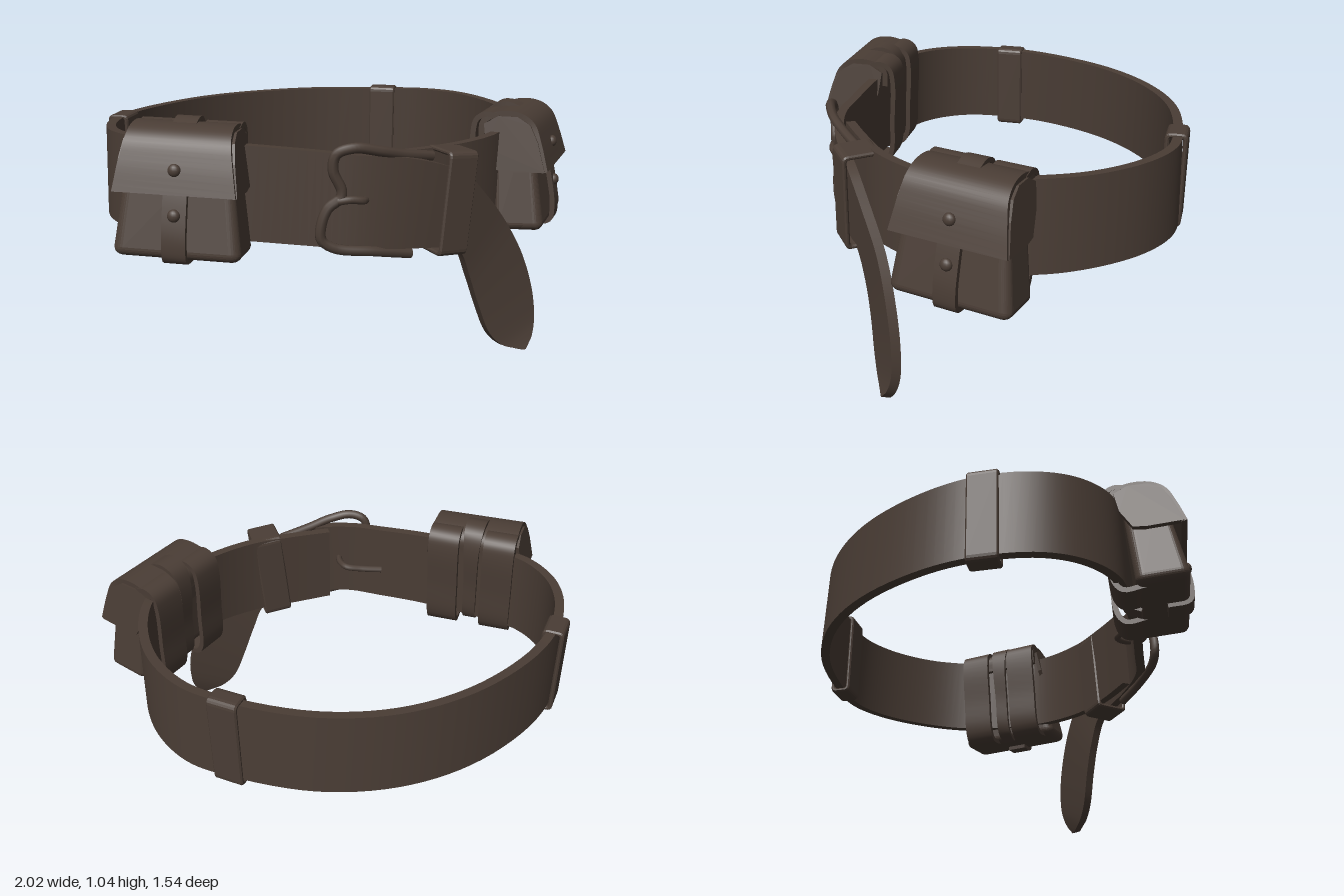
import * as THREE from 'three';
import { RoundedBoxGeometry } from 'three/addons/geometries/RoundedBoxGeometry.js';

const leather = new THREE.MeshStandardMaterial({ color: 0x4a3d35 });
leather.name = 'dark brown leather';

const V = (x, y, z) => new THREE.Vector3(x, y, z);

function add(parent, name, geometry) {
  const mesh = new THREE.Mesh(geometry, leather);
  mesh.name = name;
  parent.add(mesh);
  return mesh;
}

// Leather band between two edge curves; smooth along its length, sharp at the edges
function ribbon(sections, thickness, steps = 5) {
  const low = new THREE.CatmullRomCurve3(sections.map(s => V(s[0], s[1], s[2])));
  const high = new THREE.CatmullRomCurve3(sections.map(s => V(s[3], s[4], s[5])));
  const n = (sections.length - 1) * steps;
  const lows = [], highs = [], rings = [];
  for (let i = 0; i <= n; i++) {
    lows.push(low.getPoint(i / n));
    highs.push(high.getPoint(i / n));
  }
  for (let i = 0; i <= n; i++) {
    const a = Math.max(i - 1, 0), b = Math.min(i + 1, n);
    const t = lows[b].clone().add(highs[b]).sub(lows[a]).sub(highs[a]);
    const w = highs[i].clone().sub(lows[i]);
    const o = t.cross(w).normalize().multiplyScalar(thickness / 2);
    rings.push([lows[i].clone().add(o), highs[i].clone().add(o),
      highs[i].clone().sub(o), lows[i].clone().sub(o)]);
  }
  const pos = [], index = [];
  for (let k = 0; k < 4; k++) {
    const base = pos.length / 3;
    for (const r of rings) pos.push(...r[k].toArray(), ...r[(k + 1) % 4].toArray());
    for (let i = 0; i < n; i++) {
      const p = base + 2 * i;
      index.push(p, p + 2, p + 3, p, p + 3, p + 1);
    }
  }
  for (const cap of [rings[0], [...rings[n]].reverse()]) {
    const c = pos.length / 3;
    cap.forEach(p => pos.push(...p.toArray()));
    index.push(c, c + 1, c + 2, c, c + 2, c + 3);
  }
  const g = new THREE.BufferGeometry();
  g.setAttribute('position', new THREE.Float32BufferAttribute(pos, 3));
  g.setIndex(index);
  g.computeVertexNormals();
  return g;
}

// Strap following a side profile of [z, y, halfWidth], centred on x
const strap = (profile, x, thickness) =>
  ribbon(profile.map(([z, y, h]) => [x - h, y, z, x + h, y, z]), thickness);

const tube = (points, r) =>
  new THREE.TubeGeometry(new THREE.CatmullRomCurve3(points), points.length * 6, r, 8);

function roundedRect(path, w, h, r) {
  const x = w / 2, y = h / 2;
  path.moveTo(-x + r, -y);
  path.lineTo(x - r, -y).quadraticCurveTo(x, -y, x, -y + r);
  path.lineTo(x, y - r).quadraticCurveTo(x, y, x - r, y);
  path.lineTo(-x + r, y).quadraticCurveTo(-x, y, -x, y - r);
  path.lineTo(-x, -y + r).quadraticCurveTo(-x, -y, -x + r, -y);
  return path;
}

// Leather loop around the belt, facing outward along (nx, nz)
function keeper(parent, name, [x, y, z], [nx, nz], depth, height, width, tilt = 0) {
  const shape = roundedRect(new THREE.Shape(), depth, height, 0.025);
  shape.holes.push(roundedRect(new THREE.Path(), depth - 0.036, height - 0.036, 0.012));
  const g = new THREE.ExtrudeGeometry(shape, {
    depth: width - 0.012, bevelThickness: 0.006, bevelSize: 0.006, bevelOffset: -0.006,
    bevelSegments: 1, curveSegments: 4,
  });
  g.translate(0, 0, -width / 2 + 0.006);
  g.rotateX(tilt);
  const mesh = add(parent, name, g);
  mesh.position.set(x, y, z);
  mesh.rotation.y = Math.atan2(-nz, nx);
}

// Pouch turned to face outward, its top leaning back over the belt
function pouch(name, x, y, z, turn, lean) {
  const group = new THREE.Group();
  group.name = name;
  group.position.set(x + 0.025 * Math.sin(turn), y, z + 0.025 * Math.cos(turn));
  group.rotation.set(-0.09, turn, lean, 'YXZ');

  // Body tapers toward the top
  const body = new RoundedBoxGeometry(0.41, 0.46, 0.21, 4, 0.035);
  const p = body.attributes.position;
  for (let i = 0; i < p.count; i++) {
    const up = (p.getY(i) + 0.23) / 0.46;
    p.setX(i, p.getX(i) * (1.2 - 0.3 * up));
    if (p.getZ(i) > 0) p.setZ(i, p.getZ(i) * (1 - 0.45 * up));
  }
  body.computeVertexNormals();
  body.translate(0, 0.23, 0.03);
  add(group, 'pouchBody', body);

  // Flap folds over the top and flares down the front
  add(group, 'pouchFlap', strap([[-0.115, 0.38, 0.195], [-0.105, 0.452, 0.195], [-0.04, 0.48, 0.193],
    [0.045, 0.472, 0.193], [0.095, 0.435, 0.197], [0.122, 0.36, 0.21], [0.148, 0.245, 0.23]], 0, 0.024));

  // Flap sides hang down over the body, leaning inward at the top
  const side = new THREE.Shape([[0.148, 0], [0.12, 0.12], [0.09, 0.19], [0.04, 0.225], [-0.04, 0.23],
    [-0.1, 0.2], [-0.09, 0.1], [-0.05, 0.01], [0, 0]].map(([a, b]) => new THREE.Vector2(a, b)));
  const sideGeometry = new THREE.ExtrudeGeometry(side, { depth: 0.018, bevelEnabled: false });
  sideGeometry.rotateY(-Math.PI / 2).translate(0.009, 0, 0);
  for (const s of [-1, 1]) {
    const lip = add(group, 'flapSide', sideGeometry);
    lip.position.set(s * 0.225, 0.245, 0);
    lip.rotation.z = s * 0.14;
  }

  // Closing strap on the front
  add(group, 'closingStrap', strap([[0.11, 0.32, 0.045], [0.132, 0.2, 0.045], [0.144, 0.06, 0.045],
    [0.128, 0, 0.045], [0.04, -0.008, 0.045]], 0, 0.02));

  // Belt loops behind, with a narrower strap between them
  for (const s of [-1, 1])
    add(group, 'beltLoop', strap([[-0.04, 0.468, 0.07], [-0.09, 0.482, 0.07], [-0.132, 0.462, 0.07],
      [-0.15, 0.4, 0.07], [-0.155, 0.22, 0.07], [-0.155, 0.05, 0.07], [-0.125, 0.005, 0.07],
      [-0.04, 0.01, 0.07]], s * 0.126, 0.022));
  add(group, 'centreStrap', strap([[0.03, 0.475, 0.045], [-0.04, 0.503, 0.045], [-0.1, 0.482, 0.042],
    [-0.128, 0.41, 0.035], [-0.128, 0.22, 0.03], [-0.12, 0.04, 0.03], [-0.06, 0, 0.03]], 0, 0.018));

  // Rivets on the flap and closing strap
  for (const [ry, rz] of [[0.335, 0.141], [0.17, 0.147]]) {
    const rivet = add(group, 'rivet', new THREE.SphereGeometry(0.024, 16, 10));
    rivet.scale.z = 0.75;
    rivet.position.set(0, ry, rz);
  }
  return group;
}

export function createModel() {
  const model = new THREE.Group();
  model.name = 'pouchBelt';

  // Belt path [x, z, bottom, top], from the buckle end around the back to the front;
  // the band leans slightly inward at the top
  const path = [
    [-0.08, 0.635, 0.54, 0.9], [0.1, 0.635, 0.53, 0.9], [0.3, 0.62, 0.53, 0.9], [0.53, 0.53, 0.54, 0.9],
    [0.7, 0.38, 0.55, 0.91], [0.81, 0.2, 0.555, 0.925], [0.852, 0, 0.56, 0.925], [0.83, -0.22, 0.56, 0.925],
    [0.74, -0.4, 0.555, 0.92], [0.6, -0.52, 0.555, 0.915], [0.3, -0.685, 0.555, 0.912],
    [0, -0.742, 0.555, 0.91], [-0.3, -0.7, 0.555, 0.912], [-0.6, -0.555, 0.555, 0.915],
    [-0.77, -0.4, 0.555, 0.92], [-0.87, -0.22, 0.56, 0.925], [-0.893, -0.06, 0.56, 0.93],
    [-0.845, 0.1, 0.56, 0.935], [-0.7, 0.25, 0.56, 0.935], [-0.5, 0.42, 0.56, 0.93],
    [-0.32, 0.55, 0.555, 0.92], [-0.18, 0.645, 0.55, 0.91],
  ].map(([x, z, b, t]) => [x * 1.008, b, z * 1.008, x * 0.992, t, z * 0.992]);

  // Free end passes through the front loop and hangs down to a rounded tip
  const hanging = [
    [0, 0.54, 0.7, 0.02, 0.89, 0.7], [0.17, 0.52, 0.71, 0.25, 0.81, 0.71],
    [0.25, 0.49, 0.7, 0.36, 0.71, 0.7], [0.31, 0.37, 0.69, 0.48, 0.57, 0.685],
    [0.36, 0.24, 0.69, 0.57, 0.42, 0.685], [0.42, 0.1, 0.7, 0.63, 0.25, 0.69],
    [0.48, 0.04, 0.71, 0.643, 0.12, 0.7], [0.54, 0.015, 0.72, 0.625, 0.05, 0.715],
    [0.58, 0.002, 0.728, 0.59, 0.004, 0.728],
  ];
  add(model, 'beltStrap', ribbon([...path, ...hanging], 0.038, 6));

  // Loops on the belt
  keeper(model, 'frontKeeper', [0.205, 0.698, 0.685], [0.05, 1], 0.16, 0.41, 0.13, -0.09);
  keeper(model, 'backLeftKeeper', [0.594, 0.728, -0.515], [0.6, -0.75], 0.09, 0.4, 0.125);
  keeper(model, 'backRightKeeper', [-0.767, 0.728, -0.402], [-0.79, -0.61], 0.09, 0.4, 0.125);

  // Two-lobed buckle frame and its prong
  add(model, 'buckleFrame', tube([
    V(0.14, 0.875, 0.665), V(0, 0.9, 0.685), V(-0.1, 0.925, 0.695), V(-0.2, 0.943, 0.68),
    V(-0.26, 0.92, 0.655), V(-0.27, 0.86, 0.65), V(-0.24, 0.785, 0.66), V(-0.245, 0.755, 0.66),
    V(-0.29, 0.72, 0.65), V(-0.315, 0.66, 0.645), V(-0.315, 0.6, 0.645), V(-0.27, 0.565, 0.66),
    V(-0.12, 0.54, 0.69), V(0.04, 0.508, 0.695)], 0.02));
  add(model, 'buckleProng', tube([
    V(-0.26, 0.745, 0.665), V(-0.21, 0.75, 0.682), V(-0.16, 0.742, 0.685), V(-0.13, 0.735, 0.63),
    V(-0.145, 0.73, 0.565), V(-0.22, 0.72, 0.54), V(-0.31, 0.715, 0.517)], 0.015));

  model.add(pouch('leftPouch', 0.727, 0.49, 0.44, 0.72, -0.03));
  model.add(pouch('rightPouch', -0.733, 0.53, 0.34, -0.61, -0.02));
  return model;
}
